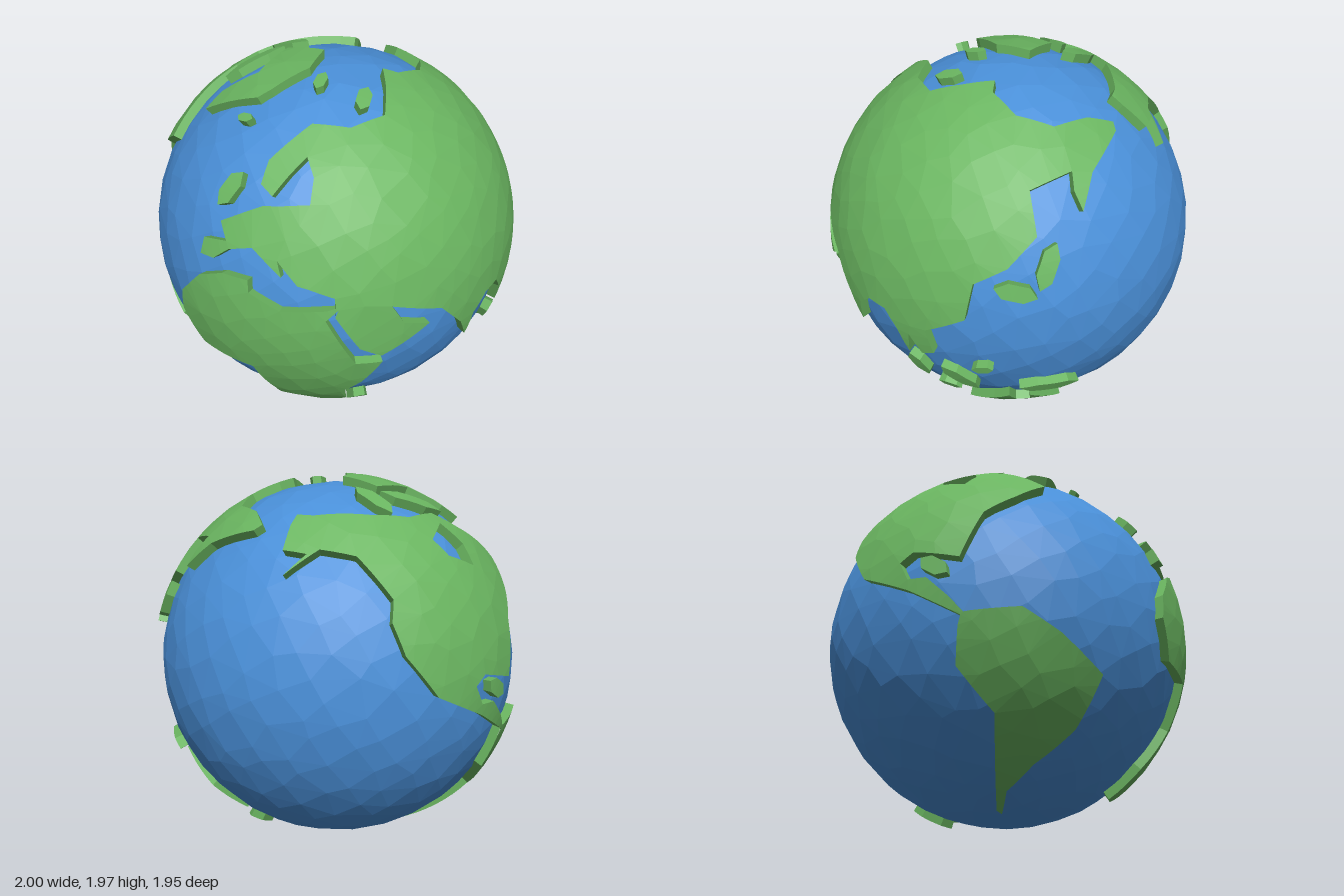
import * as THREE from 'three';
import { ConvexGeometry } from 'three/addons/geometries/ConvexGeometry.js';

const SEA = 0.957, LAND = 1, FOOT = 0.935, STEP = 0.065;
const V = (x, y, z) => new THREE.Vector3(x, y, z);

// Sides from which coasts are projected onto the ball: longitude, latitude, sign of u, sign of v
// (u, v are x, y on the front; z, y on the side; x, z on the top)
const SIDES = { front: [0, 0, 1, 1], side: [90, 0, -1, 1], top: [0, 90, 1, -1], back: [215, 25, 1, 1] };

function onBall(lon, lat) {
  const a = THREE.MathUtils.degToRad(lon), b = THREE.MathUtils.degToRad(lat);
  return V(Math.cos(b) * Math.sin(a), Math.sin(b), Math.cos(b) * Math.cos(a));
}

// Points given as u, v pairs in hundredths of the radius
function project(side, flat) {
  const [lon, lat, signU, signV] = SIDES[side];
  const towards = onBall(lon, lat), right = onBall(lon + 90, 0), up = towards.clone().cross(right);
  const points = [];
  for (let i = 0; i < flat.length; i += 2) {
    const u = signU * flat[i] / 100, v = signV * flat[i + 1] / 100, w = Math.sqrt(Math.max(0, 1 - u * u - v * v));
    points.push(V(0, 0, 0).addScaledVector(right, u).addScaledVector(up, v).addScaledVector(towards, w).normalize());
  }
  return points;
}

// Long island: a six-sided lozenge along a line between two ends
function lozenge([a, b]) {
  const along = b.clone().sub(a), length = along.length();
  const half = THREE.MathUtils.clamp(length * 0.25, 0.025, 0.045);
  const across = a.clone().add(b).cross(along).normalize().multiplyScalar(half);
  const at = (t, s) => a.clone().addScaledVector(along, t).addScaledVector(across, s).normalize();
  return [at(0, 0.3), at(0.3, 1), at(0.8, 0.8), at(1, -0.2), at(0.7, -1), at(0.2, -0.8)];
}

// Closed shore with long edges divided, wound anticlockwise, and an inside test
function shoreline(corners) {
  const points = corners.flatMap((a, i) => {
    const b = corners[(i + 1) % corners.length], parts = Math.ceil(a.distanceTo(b) / STEP);
    return Array.from({ length: parts }, (_, k) => a.clone().lerp(b, k / parts).normalize());
  });
  const centre = points.reduce((sum, p) => sum.add(p), V(0, 0, 0)).normalize();
  const e1 = V(0.3, 0.1, 0.9).cross(centre).normalize(), e2 = centre.clone().cross(e1);
  const flatten = (p) => new THREE.Vector2(p.dot(e1), p.dot(e2)).divideScalar(1.0001 + p.dot(centre));
  if (THREE.ShapeUtils.area(points.map(flatten)) < 0) points.reverse();
  const map = points.map(flatten);
  const contains = (p) => {
    const q = flatten(p);
    let inside = false;
    map.forEach((a, i) => {
      const b = map[(i + 1) % map.length];
      if ((a.y > q.y) !== (b.y > q.y) && q.x < (b.x - a.x) * (q.y - a.y) / (b.y - a.y) + a.x) inside = !inside;
    });
    return inside;
  };
  return { points, contains };
}

// Evenly spread, slightly irregular points on the ball
function scatter(count, seed) {
  const random = () => { seed = (seed * 16807) % 2147483647; return seed / 2147483647 - 0.5; };
  const jitter = 1.7 / Math.sqrt(count);
  return Array.from({ length: count }, (_, i) => {
    const y = 1 - (2 * i + 1) / count, r = Math.sqrt(1 - y * y), a = i * 2.399963;
    return V(r * Math.cos(a) + random() * jitter, y + random() * jitter, r * Math.sin(a) + random() * jitter).normalize();
  });
}

// Cliff strip along a shore, as triangle corners
function cliff(points) {
  return points.flatMap((a, i) => {
    const b = points[(i + 1) % points.length];
    const [a0, a1, b0, b1] = [[a, FOOT], [a, LAND], [b, FOOT], [b, LAND]].map(([p, r]) => p.clone().multiplyScalar(r));
    return [a0, b0, b1, a0, b1, a1];
  });
}

function makeLands() {
  const lands = [];
  const land = (name, corners) => lands.push({ name, shore: shoreline(corners), triangles: [] });

  land('africa', project('front', [-28, 22, -14, 29, 0, 30, 1, 24, 17, 18, 43, 21, 38, 15, 51, -14, 62, -15, 52, -32,
    41, -44, 40, -59, 33, -66, 25, -78, 17, -83, 8, -84, 5, -70, 7, -50, 0, -27, -31, -27, -42, -8, -41, 5]));

  land('eurasia', [
    ...project('front', [-28, 33, -27, 41, -14, 44, -19, 51, -14, 54, 1, 62, 8, 63, 22, 65, 20, 74, 14, 80, 9, 74,
      4, 66, -3, 69, -3, 77, 10, 89]),
    ...project('top', [27, 39, 38, 24, 32, 8, 25, -5, 32, -8, 38, -24, 32, -41, 16, -50, 6, -59, 9, -62, 35, -63,
      49, -66, 47, -60, 42, -56]),
    ...project('side', [-44, 67, -53, 50, -45, 37, -32, 29, -30, 10, -10, -2, -13, -17, -6, -20, 0, -9, 2, -23,
      7, -9, 14, 1, 25, 1, 34, -7, 36, -21, 43, -7, 55, 10, 74, 20, 71, 9, 61, 4, 78, -10]),
    ...project('front', [53, -3, 42, 17, 41, 27, 29, 31, 24, 32, 13, 42, 16, 35, 0, 45, -12, 41, -20, 34]),
  ]);

  land('northAmerica', [
    ...project('back', [-25, 52, -29, 38, -18, 35, -29, 25, -12, 37, 5, 33, 21, 12, 20, 1, 26, -14, 42, -32,
      66, -39, 83, -45, 79, -38, 73, -32, 66, -34, 62, -26, 67, -20, 83, -19]),
    ...project('top', [-94, 12, -86, 26, -73, 38, -64, 11, -55, 0, -52, -18, -40, -33, -17, -49, -9, -51]),
  ]);
  lands.at(-1).bay = shoreline(project('top', [-80, -2, -73, -16, -65, -18, -61, -2, -72, 2]));

  const south = [[-89, -13], [-72, -12], [-61, -18], [-46, -27], [-50, -43], [-63, -55], [-75, -65], [-79, -76],
    [-84, -74], [-80, -40], [-91, -27]];
  land('southAmerica', south.map(([lon, lat]) => onBall(lon, lat)));

  land('australia', project('side', [-15, -70, -32, -60, -42, -52, -42, -61, -48, -61, -51, -52, -57, -68,
    -43, -84, -31, -80, -16, -82]));
  land('greenland', project('top', [-28, -7, -7, -6, -6, 13, -18, 31, -23, 36, -53, 36, -48, 27, -32, 18]));

  const islands = [
    ['madagascar', 'front', [48, -57, 38, -72]], ['britishIsles', 'front', [-15, 71, -22, 56]],
    ['iceland', 'top', [-29, 46, -20, 47]], ['svalbard', 'top', [2, 14, 4, 26]],
    ['novayaZemlya', 'top', [24, 14, 28, 28]], ['northJapan', 'side', [-60, 47, -60, 26]],
    ['southJapan', 'side', [-59, 24, -41, 27]], ['sumatra', 'side', [4, -26, -5, -41]],
    ['java', 'side', [-8, -47, -20, -48]], ['borneo', 'side', [-14, -28, -31, -43]],
    ['philippines', 'side', [-31, -25, -41, -22]], ['newGuinea', 'side', [-49, -42, -72, -42]],
    ['newZealand', 'side', [-35, -91, -56, -80]], ['ellesmere', 'top', [-46, -22, -21, -18]],
    ['baffin', 'top', [-33, -12, -54, 13]], ['cuba', 'back', [70, -24, 80, -27]],
  ];
  for (const [name, side, ends] of islands) land(name, lozenge(project(side, ends)));
  return lands;
}

export function createModel() {
  const group = new THREE.Group();
  group.name = 'globe';
  const blue = new THREE.MeshStandardMaterial({ color: 0x4a90d9, flatShading: true });
  blue.name = 'oceanBlue';
  const green = new THREE.MeshStandardMaterial({ color: 0x6ab560, flatShading: true });
  green.name = 'landGreen';

  const add = (name, geometry, material) => {
    const mesh = new THREE.Mesh(geometry, material);
    mesh.name = name;
    mesh.position.y = 1;
    group.add(mesh);
  };

  // Ocean ball
  add('ocean', new ConvexGeometry(scatter(520, 7).map((p) => p.multiplyScalar(SEA))), blue);

  // One faceted skin through all shore points, shared out between the lands
  const lands = makeLands();
  const shores = lands.flatMap(({ shore, bay }) => [...shore.points, ...(bay ? bay.points : [])]);
  const inner = scatter(750, 31).filter((p) => shores.every((q) => p.distanceTo(q) > 0.06));
  const skin = new ConvexGeometry([...shores, ...inner]).getAttribute('position');
  for (let i = 0; i < skin.count; i += 3) {
    const corners = [0, 1, 2].map((k) => V(0, 0, 0).fromBufferAttribute(skin, i + k));
    const middle = corners[0].clone().add(corners[1]).add(corners[2]).normalize();
    const owner = lands.find(({ shore, bay }) => shore.contains(middle) && !(bay && bay.contains(middle)));
    if (owner) owner.triangles.push(...corners.map((p) => p.multiplyScalar(LAND)));
  }

  // Raised lands with cliffs; the bay's cliff faces inward
  for (const { name, shore, bay, triangles } of lands) {
    triangles.push(...cliff(shore.points));
    if (bay) triangles.push(...cliff([...bay.points].reverse()));
    const geometry = new THREE.BufferGeometry().setFromPoints(triangles);
    geometry.computeVertexNormals();
    add(name, geometry, green);
  }
  return group;
}
